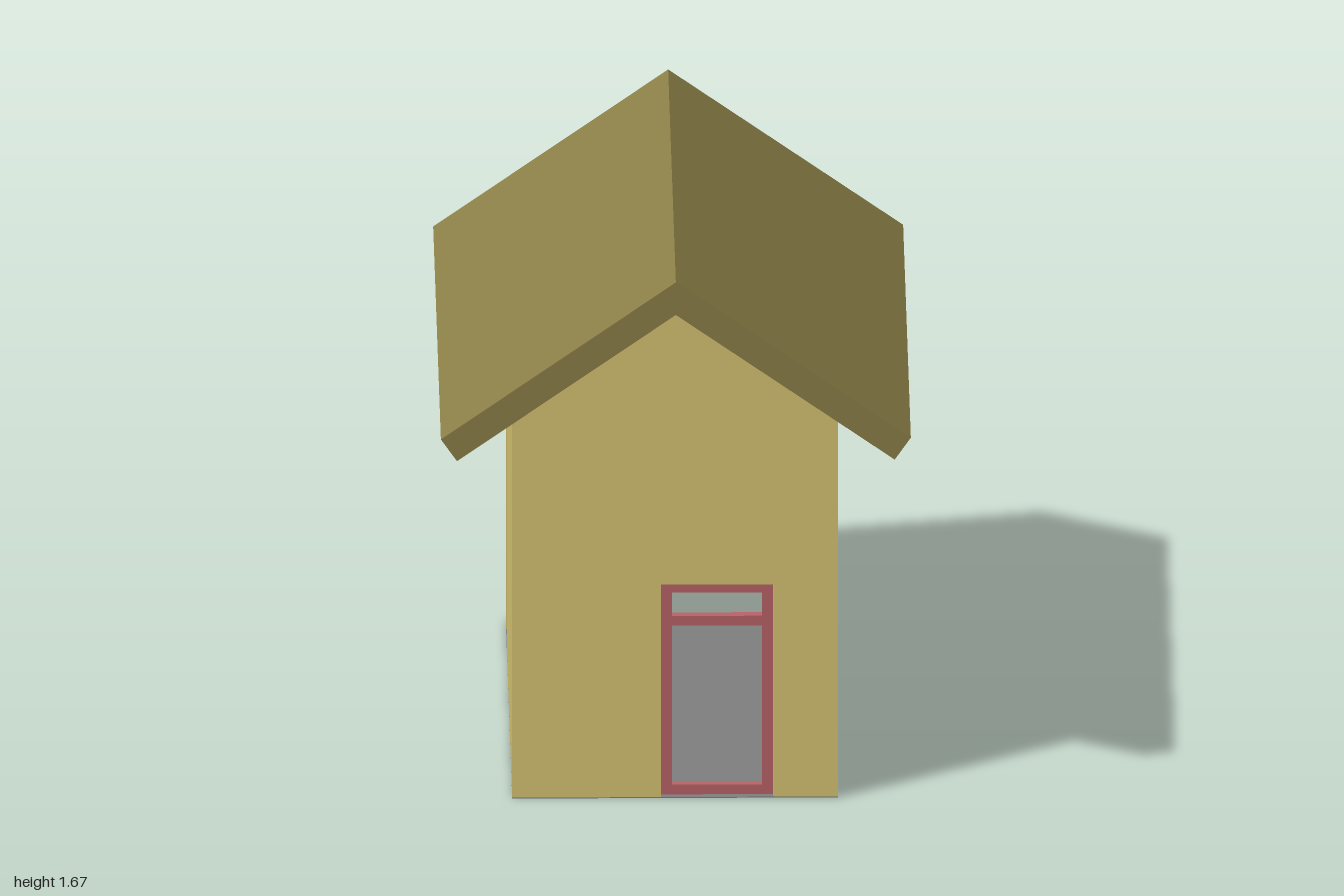
import * as THREE from 'three';

const WALL = 0.0833, FRAME = 0.0333, OPEN_H = 0.667, FLOOR = 0.003;
const HALF_W = 0.4835, HALF_L = 0.8333;
const PITCH = THREE.MathUtils.degToRad(35), ROOF_TOP = 1.667;
const ROOF_BASE = ROOF_TOP - WALL / Math.cos(PITCH); // apex of the underside

const material = (color) => new THREE.MeshStandardMaterial({ color, flatShading: true });
const wallMat = material(0xd8c672);
const roofMat = material(0x8c8048);
const frameMat = material(0xbc6569);
const floorMat = material(0x808080);

const polygon = (points) => new THREE.Shape(points.map(([x, y]) => new THREE.Vector2(x, y)));

// Flat shape given a thickness, centred on its own plane
function slab(name, shape, depth, mat) {
  const geometry = new THREE.ExtrudeGeometry(shape, { depth, bevelEnabled: false });
  geometry.translate(0, 0, -depth / 2);
  const mesh = new THREE.Mesh(geometry, mat);
  mesh.name = name;
  return mesh;
}

// Wall with a doorway from a to b, and a recessed frame inside the doorway
function wallWithOpening(name, half, top, a, b) {
  const group = new THREE.Group();
  group.name = name;
  const outline = polygon([
    [-half, FLOOR], [a, FLOOR], [a, OPEN_H], [b, OPEN_H], [b, FLOOR], [half, FLOOR], ...top,
  ]);
  group.add(slab(name + 'Panel', outline, WALL, wallMat));

  const ring = polygon([[a, FLOOR], [b, FLOOR], [b, OPEN_H], [a, OPEN_H]]);
  const a2 = a + FRAME, b2 = b - FRAME, top2 = OPEN_H - FRAME;
  ring.holes.push(polygon([[a2, FRAME], [a2, top2], [b2, top2], [b2, FRAME]]));
  group.add(slab(name + 'Frame', ring, FRAME, frameMat));
  return group;
}

export function createModel() {
  const model = new THREE.Group();
  model.name = 'house';

  // Floor
  const floor = new THREE.Mesh(new THREE.BoxGeometry(2 * HALF_W, FLOOR, 2 * HALF_L), floorMat);
  floor.name = 'floor';
  floor.position.y = FLOOR / 2;
  model.add(floor);

  // Gable walls
  const eaveY = ROOF_BASE - HALF_W * Math.tan(PITCH);
  const gable = [[HALF_W, eaveY], [0, ROOF_BASE], [-HALF_W, eaveY]];
  const front = wallWithOpening('frontWall', HALF_W, gable, -0.042, 0.291);
  front.position.z = HALF_L - WALL / 2;
  const back = wallWithOpening('backWall', HALF_W, gable, -0.33, 0.403);
  back.position.z = -front.position.z;
  model.add(front, back);

  // Side walls, turned so that their width runs along z; tops end inside the roof
  const half = HALF_L - 0.001;
  const sideTop = [[half, 1.28], [-half, 1.28]];
  const left = wallWithOpening('leftWall', half, sideTop, -0.512, -0.245);
  const right = wallWithOpening('rightWall', half, sideTop, -0.75, -0.537);
  left.position.x = HALF_W - WALL / 2;
  right.position.x = -left.position.x;
  for (const side of [left, right]) {
    side.rotation.y = -Math.PI / 2;
    model.add(side);
  }

  // Pitched roof with eaves cut square to the slope
  const outX = 0.697, outY = ROOF_TOP - outX * Math.tan(PITCH);
  const inX = outX - WALL * Math.sin(PITCH), inY = outY - WALL * Math.cos(PITCH);
  const roof = polygon([
    [0, ROOF_BASE], [inX, inY], [outX, outY], [0, ROOF_TOP], [-outX, outY], [-inX, inY],
  ]);
  model.add(slab('roof', roof, 2, roofMat));

  return model;
}
